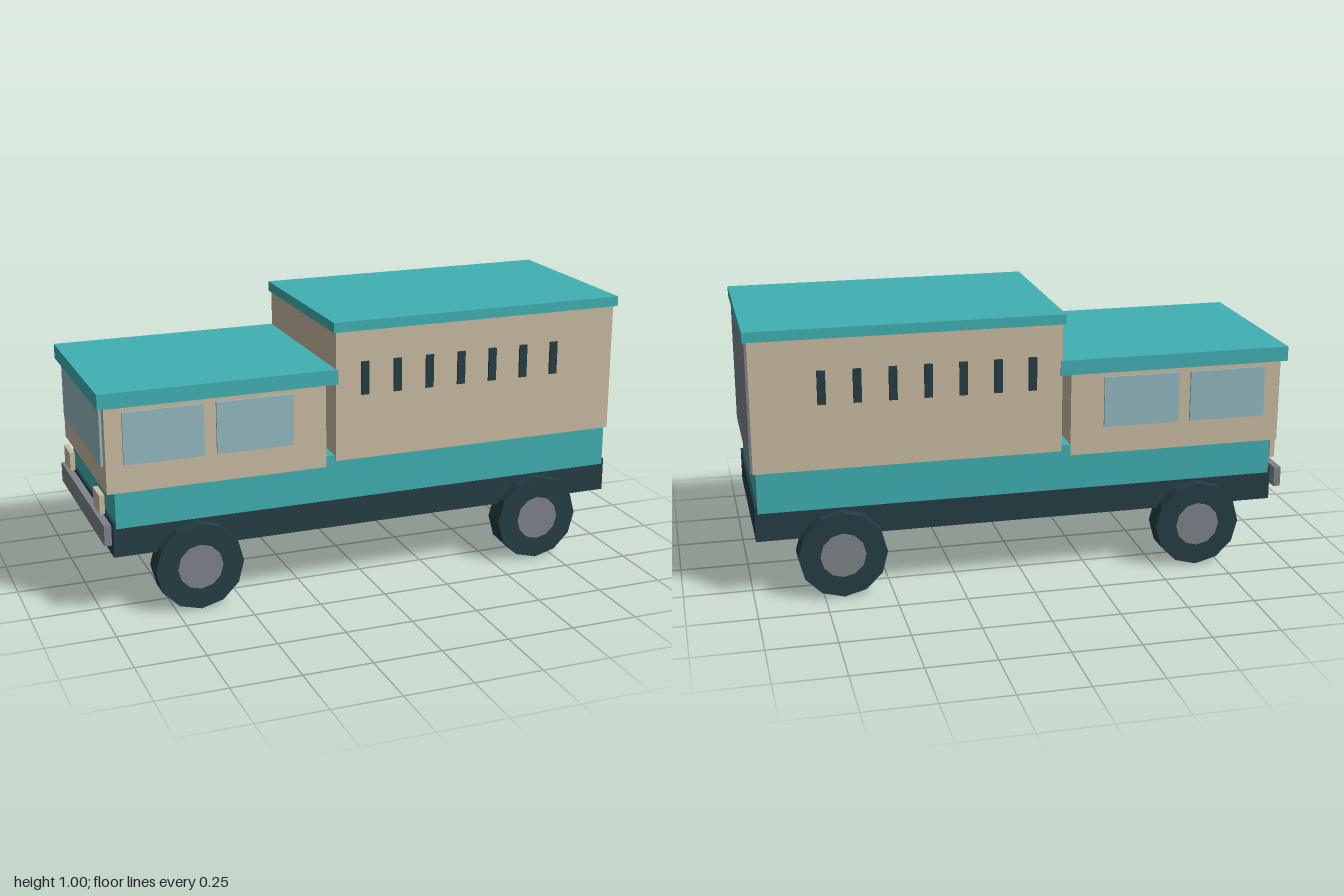
import * as THREE from 'three';

const mat = (name, color) => {
  const m = new THREE.MeshStandardMaterial({ color });
  m.name = name;
  return m;
};

export function createModel() {
  const teal = mat('teal', 0x40b0b2);
  const tan = mat('tan', 0xc9bca1);
  const dark = mat('dark slate', 0x243d44);
  const grey = mat('grey', 0x7e848b);
  const glass = mat('glass', 0x93bac1);

  const truck = new THREE.Group();
  truck.name = 'truck';

  // Box given by its extents along each axis
  const box = (name, material, [x0, x1], [y0, y1], [z0, z1]) => {
    const mesh = new THREE.Mesh(new THREE.BoxGeometry(x1 - x0, y1 - y0, z1 - z0), material);
    mesh.position.set((x0 + x1) / 2, (y0 + y1) / 2, (z0 + z1) / 2);
    mesh.name = name;
    truck.add(mesh);
  };
  const wide = (h) => [-h, h];
  const sidePlate = (s, inner, outer) => (s > 0 ? [inner, outer] : [-outer, -inner]);

  // Body, the cab faces -x
  box('chassis', dark, [-0.96, 0.985], [0.225, 0.352], wide(0.34));
  box('lowerBody', teal, [-0.95, 0.975], [0.332, 0.503], wide(0.345));
  box('cab', tan, [-0.977, -0.17], [0.463, 0.775], wide(0.3465));
  box('cabRoof', teal, [-1, -0.128], [0.773, 0.828], wide(0.358));
  box('cargoBox', tan, [-0.135, 0.985], [0.483, 0.965], wide(0.352));
  box('cargoRoof', teal, [-0.145, 1], [0.963, 1], wide(0.359));
  box('rearDoor', grey, [0.984, 0.993], [0.482, 0.963], wide(0.337));

  // Nose
  box('windshield', glass, [-0.986, -0.977], [0.555, 0.755], wide(0.31));
  box('bumper', grey, [-0.996, -0.97], [0.28, 0.355], wide(0.36));

  for (const s of [-1, 1]) {
    box('headlight', tan, [-0.994, -0.975], [0.375, 0.445], [s * 0.245 - 0.05, s * 0.245 + 0.05]);

    // Side windows and cargo vents
    for (const x of [[-0.915, -0.625], [-0.58, -0.295]])
      box('sideWindow', glass, x, [0.565, 0.755], sidePlate(s, 0.346, 0.354));
    for (let i = 0; i < 7; i++) {
      const x = -0.024 + i * 0.1265;
      box('vent', dark, [x - 0.015, x + 0.015], [0.725, 0.848], sidePlate(s, 0.351, 0.36));
    }

    // Wheels with hubs
    for (const x of [-0.66, 0.68]) {
      const wheel = new THREE.Group();
      wheel.name = 'wheel';
      const disc = (name, material, r, z0, z1) => {
        const geo = new THREE.CylinderGeometry(r, r, z1 - z0, 12).toNonIndexed();
        geo.computeVertexNormals();
        geo.rotateX(Math.PI / 2);
        const mesh = new THREE.Mesh(geo, material);
        mesh.position.z = s * (z0 + z1) / 2;
        mesh.name = name;
        wheel.add(mesh);
      };
      disc('tyre', dark, 0.162, 0.294, 0.38);
      disc('hub', grey, 0.083, 0.29, 0.385);
      wheel.position.set(x, 0.162, 0);
      truck.add(wheel);
    }
  }
  return truck;
}
